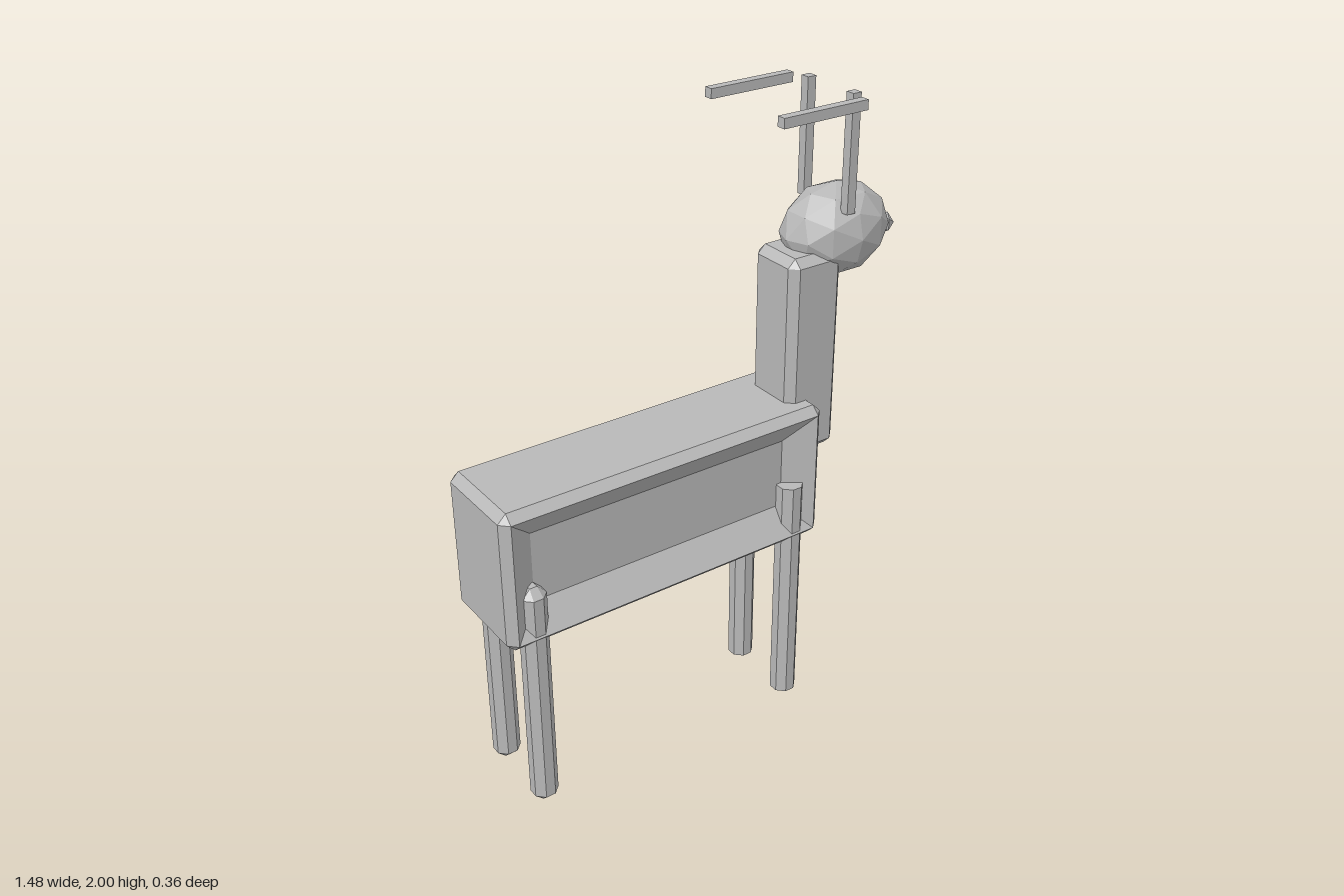
import * as THREE from 'three';

const grey = new THREE.MeshStandardMaterial({ color: 0xb8b8b8, flatShading: true });
grey.name = 'plain grey';

// Rectangle with cut corners, counter-clockwise, at height t along z
function ring([t, a, b, c]) {
  return [[a, -b + c], [a, b - c], [a - c, b], [-a + c, b], [-a, b - c], [-a, -b + c], [-a + c, -b], [a - c, -b]]
    .map(([x, y]) => new THREE.Vector3(x, y, t));
}

// Skin a list of rings [z, half width, half height, corner cut] and cap both ends
function loft(sections) {
  const rings = sections.map(ring), pos = [];
  const tri = (p, q, r) => {
    const area = q.clone().sub(p).cross(r.clone().sub(p)).length();
    if (area > 1e-8) for (const v of [p, q, r]) pos.push(v.x, v.y, v.z);
  };
  for (let i = 0; i + 1 < rings.length; i++) {
    for (let j = 0; j < 8; j++) {
      const k = (j + 1) % 8, lo = rings[i], hi = rings[i + 1];
      tri(lo[j], lo[k], hi[k]);
      tri(lo[j], hi[k], hi[j]);
    }
  }
  const first = rings[0], last = rings[rings.length - 1];
  for (let j = 1; j < 7; j++) {
    tri(first[0], first[j + 1], first[j]);
    tri(last[0], last[j], last[j + 1]);
  }
  const geo = new THREE.BufferGeometry();
  geo.setAttribute('position', new THREE.Float32BufferAttribute(pos, 3));
  geo.computeVertexNormals();
  return geo;
}

// Upright post with bevelled long edges; bevelled ends if endCut > 0
function post(width, depth, y0, y1, cut, endCut) {
  const a = width / 2, b = depth / 2;
  const full = [a, b, cut], tip = [a - endCut, b - endCut, Math.max(0, cut - endCut)];
  const sections = endCut > 0
    ? [[y0, ...tip], [y0 + endCut, ...full], [y1 - endCut, ...full], [y1, ...tip]]
    : [[y0, ...full], [y1, ...full]];
  return loft(sections).rotateX(-Math.PI / 2);
}

export function createModel() {
  const model = new THREE.Group();
  model.name = 'deer';
  const add = (name, geo, x, y, z) => {
    const mesh = new THREE.Mesh(geo, grey);
    mesh.name = name;
    mesh.position.set(x, y, z);
    model.add(mesh);
    return mesh;
  };

  // Bevelled body with a sunken panel on the front side
  const a = 0.56, b = 0.23, c = 0.027;
  add('body', loft([
    [-0.165, a - c, b - c, 0],
    [-0.138, a, b, c],
    [0.135, a, b, c],
    [0.162, a - c, b - c, 0],
    [0.1, a - 0.115, b - 0.115, 0],
  ]), -0.187, 0.83, 0);

  // Neck
  add('neck', post(0.195, 0.196, 0.867, 1.527, 0.026, 0.026), 0.378, 0, 0.001);

  // Faceted head and nose
  add('head', new THREE.IcosahedronGeometry(1, 1).scale(0.184, 0.146, 0.133), 0.512, 1.556, 0);
  add('nose', new THREE.IcosahedronGeometry(0.035, 0), 0.708, 1.527, 0);

  // Legs and antlers, mirrored across z
  for (const [side, s] of [['left', -1], ['right', 1]]) {
    add(side + 'FrontLeg', post(0.08, 0.08, 0, 0.795, 0.024, 0), 0.279, 0, s * 0.118);
    add(side + 'RearLeg', post(0.08, 0.08, 0, 0.785, 0.024, 0.028), -0.648, 0, s * 0.118);
    add(side + 'AntlerPost', new THREE.BoxGeometry(0.03, 0.36, 0.03), 0.475, 1.82, s * 0.1);
    add(side + 'AntlerBranch', new THREE.BoxGeometry(0.295, 0.03, 0.029), 0.311, 1.985, s * 0.166);
  }
  return model;
}
